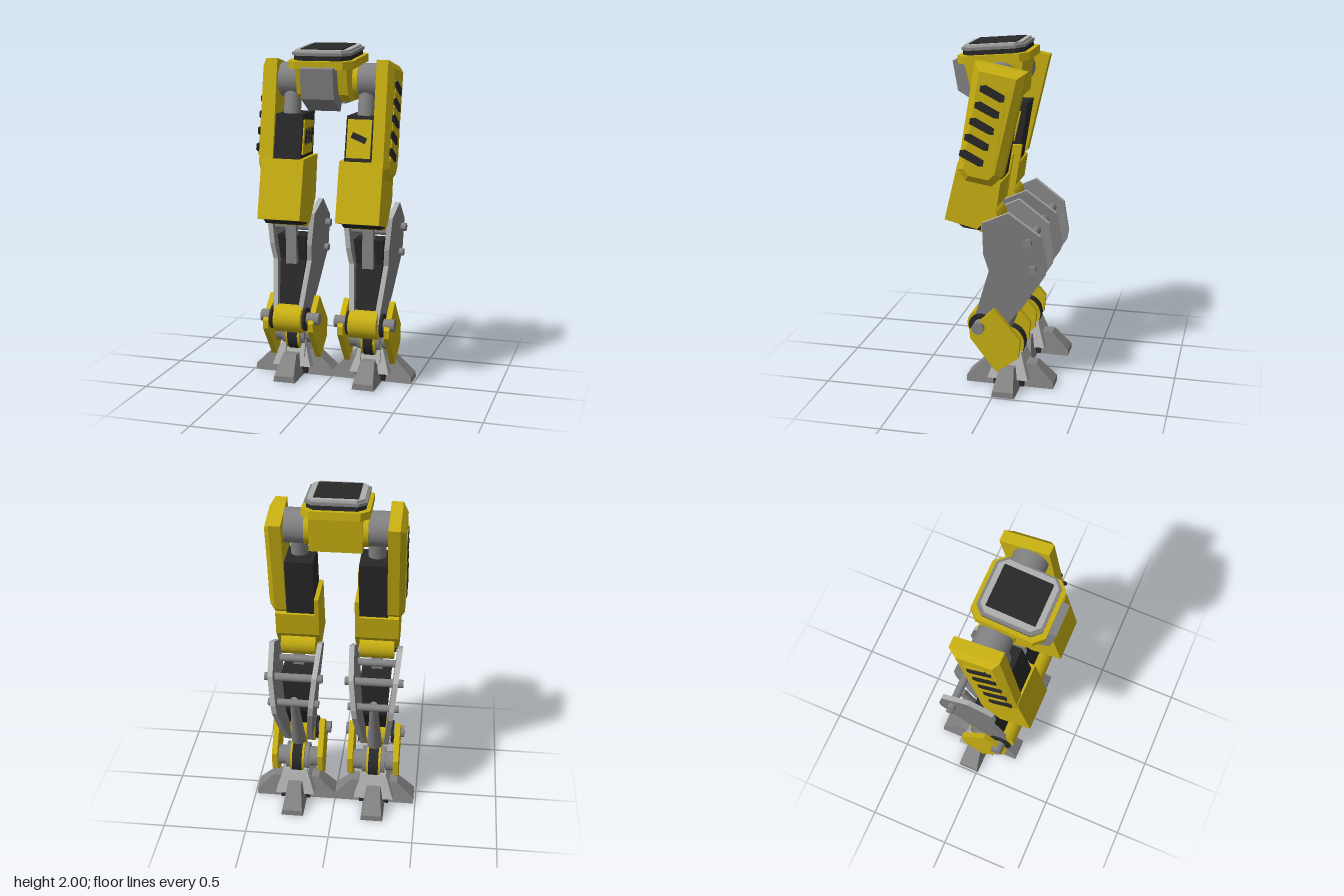
import * as THREE from 'three';

const paint = (name, color) => {
  const m = new THREE.MeshStandardMaterial({ color });
  m.name = name;
  return m;
};

export function createModel() {
  const yellow = paint('yellow', 0xc8b012);
  const black = paint('black', 0x282828);
  const grey = paint('grey', 0x838383);
  const light = paint('lightGrey', 0xb0b2b0);

  const add = (parent, name, geo, mat) => {
    const m = new THREE.Mesh(geo, mat);
    m.name = name;
    parent.add(m);
    return m;
  };
  const shapeOf = (pts) => new THREE.Shape(pts.map(([a, b]) => new THREE.Vector2(a, b)));

  // Side profile of [z, y] points, from x0 to x0 + w, optionally chamfered on the +x face
  const side = (pts, x0, w, bevel = 0, inset = bevel) => {
    const depth = w - bevel;
    const g = new THREE.ExtrudeGeometry(shapeOf(pts), {
      depth, bevelEnabled: bevel > 0, bevelSegments: 1,
      bevelThickness: bevel, bevelSize: inset, bevelOffset: -inset,
    });
    const p = g.attributes.position;
    for (let i = 0; i < p.count; i++) p.setZ(i, Math.min(p.getZ(i), depth));
    g.computeVertexNormals();
    return g.rotateY(-Math.PI / 2).translate(x0 + depth, 0, 0);
  };

  // Round bar between two points
  const bar = (a, b, r0, r1 = r0, n = 24) => {
    const A = new THREE.Vector3(...a), B = new THREE.Vector3(...b);
    const d = B.clone().sub(A);
    const g = new THREE.CylinderGeometry(r1, r0, d.length(), n);
    g.applyQuaternion(new THREE.Quaternion().setFromUnitVectors(new THREE.Vector3(0, 1, 0), d.normalize()));
    const c = A.add(B).multiplyScalar(0.5);
    return g.translate(c.x, c.y, c.z);
  };
  const axle = (x0, x1, y, z, r) => bar([x0, y, z], [x1, y, z], r);

  // Mirror a group across x, keeping the faces outward
  const mirror = (src, name) => {
    const out = new THREE.Group();
    out.name = name;
    src.children.forEach((m) => {
      const g = m.geometry.index ? m.geometry.toNonIndexed() : m.geometry.clone();
      g.scale(-1, 1, 1);
      for (const at of Object.values(g.attributes)) {
        const s = at.itemSize, a = at.array;
        for (let i = 0; i < at.count; i += 3) {
          for (let k = 0; k < s; k++) {
            const u = (i + 1) * s + k, v = (i + 2) * s + k;
            [a[u], a[v]] = [a[v], a[u]];
          }
        }
      }
      add(out, m.name, g, m.material);
    });
    return out;
  };

  const model = new THREE.Group();
  model.name = 'walkerLegs';

  // Pelvis
  const pelvis = new THREE.Group();
  pelvis.name = 'pelvis';
  model.add(pelvis);
  add(pelvis, 'pelvisBody', side([[0.24, 1.88], [0.2, 1.72], [0.14, 1.68], [-0.08, 1.68], [-0.1, 1.9]], -0.15, 0.3), yellow);
  add(pelvis, 'pelvisUnderside', new THREE.BoxGeometry(0.22, 0.02, 0.16).translate(0, 1.675, 0.03), grey);
  add(pelvis, 'frontBlock', side([[0.32, 1.87], [0.29, 1.7], [0.16, 1.625], [0.12, 1.7], [0.12, 1.9]], -0.095, 0.19), grey);
  add(pelvis, 'hipAxle', axle(-0.3, 0.3, 1.79, 0.02, 0.1), grey);
  for (const s of [-1, 1]) add(pelvis, 'hipCollar', axle(s * 0.14, s * 0.18, 1.79, 0.02, 0.105), yellow);

  // Stacked octagonal turret mount, tipped slightly forward
  const mount = new THREE.Group();
  mount.name = 'turretMount';
  mount.position.set(0, 1.9, 0.07);
  mount.rotation.x = 0.085;
  pelvis.add(mount);
  const octagon = (name, hx, hz, c, y, h, mat) => {
    const g = new THREE.ExtrudeGeometry(shapeOf([
      [-hx + c, -hz], [hx - c, -hz], [hx, -hz + c], [hx, hz - c],
      [hx - c, hz], [-hx + c, hz], [-hx, hz - c], [-hx, -hz + c],
    ]), { depth: h, bevelEnabled: false });
    add(mount, name, g.rotateX(-Math.PI / 2).translate(0, y, 0), mat);
  };
  octagon('mountLip', 0.19, 0.208, 0.05, -0.02, 0.045, yellow);
  octagon('mountSeal', 0.165, 0.178, 0.045, 0.025, 0.03, black);
  octagon('mountRing', 0.173, 0.183, 0.045, 0.052, 0.016, grey);
  octagon('mountCap', 0.158, 0.168, 0.04, 0.068, 0.014, light);
  octagon('mountPad', 0.125, 0.138, 0.004, 0.082, 0.005, black);

  // One leg, built on the +x side
  const leg = new THREE.Group();
  leg.name = 'leftLeg';
  model.add(leg);
  const cx = 0.235;

  // Thigh
  add(leg, 'thighShell', side([[0.12, 1.915], [-0.165, 1.86], [-0.03, 1.275], [0.03, 1.22], [0.18, 1.245], [0.225, 1.31]], 0.293, 0.097, 0.03, 0.04), yellow);
  add(leg, 'shellPanel', side([[0.075, 1.8], [-0.07, 1.765], [0.005, 1.33], [0.185, 1.36]], 0.386, 0.008), yellow);
  for (let i = 0; i < 5; i++) {
    const z = 0.01 + i * 0.03, y = 1.745 - i * 0.091;
    add(leg, 'shellStripe', side([
      [z + 0.07, y + 0.045], [z + 0.04, y + 0.05], [z - 0.065, y - 0.005],
      [z - 0.06, y - 0.04], [z - 0.035, y - 0.04], [z + 0.075, y + 0.015],
    ], 0.39, 0.008), black);
  }
  add(leg, 'thighCore', side([[0.15, 1.6], [-0.07, 1.6], [0, 1.18], [0.22, 1.3]], 0.13, 0.165), black);
  add(leg, 'thighPiston', bar([0.222, 1.55, 0.08], [0.222, 1.77, 0.04], 0.05), grey);
  add(leg, 'thighPistonEnd', new THREE.SphereGeometry(0.05, 20, 12).translate(0.222, 1.76, 0.042), grey);
  add(leg, 'kneeGuard', side([[0.222, 1.35], [0.305, 1.01], [0.115, 0.965], [0, 1.1], [-0.02, 1.24], [0.12, 1.32]], 0.105, 0.255), yellow);
  add(leg, 'kneeGuardCheek', side([[0.222, 1.35], [0.24, 1.2], [0, 1.1], [-0.04, 1.35]], 0.105, 0.025), yellow);
  add(leg, 'kneeUnderside', side([[0.26, 1.01], [0.1, 0.985], [0.1, 0.955], [0.2, 0.965]], 0.125, 0.22), black);
  add(leg, 'kneeBarrel', axle(0.13, 0.335, 1.01, 0.07, 0.075), yellow);

  // Shank: two side plates leaning in towards the ankle
  const plate = [
    [0.08, 1.01], [-0.07, 1.08], [-0.25, 0.95], [-0.285, 0.77], [-0.275, 0.71], [-0.14, 0.5], [-0.03, 0.37],
    [0.07, 0.32], [0.14, 0.34], [0.14, 0.43], [0.05, 0.72], [0.08, 0.82],
  ];
  for (const s of [-1, 1]) {
    const g = side(plate, cx + s * 0.078 - 0.015, 0.03);
    const p = g.attributes.position;
    for (let i = 0; i < p.count; i++) p.setX(i, p.getX(i) + s * (p.getY(i) - 0.45) * 0.1);
    g.computeVertexNormals();
    add(leg, 'shankPlate', g, [grey, light]);
  }
  add(leg, 'upperShankBar', axle(0.065, 0.405, 0.91, -0.182, 0.024), grey);
  add(leg, 'lowerShankBar', axle(0.085, 0.385, 0.75, -0.207, 0.022), grey);
  add(leg, 'shankFrontBar', axle(0.1, 0.37, 0.92, 0.02, 0.022), grey);
  const core = side([[0.06, 0.87], [-0.07, 0.87], [-0.06, 0.6], [0.02, 0.46], [0.11, 0.46], [0.035, 0.72]], cx - 0.09, 0.18);
  const cp = core.attributes.position;
  for (let i = 0; i < cp.count; i++) cp.setX(i, cx + (cp.getX(i) - cx) * (0.68 + (cp.getY(i) - 0.46) * 0.75));
  core.computeVertexNormals();
  add(leg, 'shankCore', core, black);
  add(leg, 'shankFrontRod', new THREE.BoxGeometry(0.065, 0.24, 0.04).translate(cx, 0.82, 0.055), grey);
  add(leg, 'shankRearPiston', bar([cx, 0.76, -0.19], [cx, 0.36, -0.02], 0.022, 0.045), grey);

  // Ankle
  add(leg, 'ankleBarrel', axle(0.145, 0.315, 0.375, 0.105, 0.085), yellow);
  for (const s of [-1, 1]) add(leg, 'ankleRing', axle(cx + s * 0.095, cx + s * 0.11, 0.375, 0.105, 0.07), black);
  add(leg, 'anklePin', axle(0.048, 0.41, 0.38, 0.105, 0.036), grey);
  const guard = [[0.015, 0.5], [-0.14, 0.32], [-0.13, 0.21], [0, 0.11], [0.155, 0.31], [0.16, 0.36]];
  add(leg, 'outerAnkleGuard', side(guard, 0.355, 0.033), yellow);
  add(leg, 'innerAnkleGuard', side(guard, 0.075, 0.033), yellow);
  add(leg, 'footAxle', axle(0.1, 0.36, 0.25, -0.035, 0.06), grey);
  add(leg, 'footBarrel', axle(0.165, 0.305, 0.25, -0.035, 0.085), grey);
  add(leg, 'footWheel', axle(0.192, 0.278, 0.25, -0.035, 0.104), yellow);
  add(leg, 'footWheelBand', axle(0.205, 0.265, 0.25, -0.035, 0.107), black);

  // Foot: four splayed toes around a tapered hub
  const fx = 0.243, fz = -0.06;
  for (let i = 0; i < 4; i++) {
    const r = i % 2 ? 0.245 : 0.26;
    const toe = side([[0, 0], [r, 0], [r, 0.035], [r - 0.105, 0.14], [0, 0.14]], -0.067, 0.134);
    const p = toe.attributes.position;
    for (let k = 0; k < p.count; k++) p.setX(k, p.getX(k) * (1 - 2.6 * p.getY(k)));
    toe.computeVertexNormals();
    add(leg, 'toe', toe.rotateY(i * Math.PI / 2).translate(fx, 0, fz), grey);
  }
  add(leg, 'footCore', new THREE.BoxGeometry(0.18, 0.06, 0.18).translate(fx, 0.04, fz), black);
  const hub = new THREE.CylinderGeometry(0.1, 0.17, 0.15, 4).toNonIndexed();
  hub.computeVertexNormals();
  add(leg, 'footHub', hub.rotateY(Math.PI / 4).translate(fx, 0.135, fz), light);
  for (const s of [-1, 1]) {
    add(leg, 'hubLug', side([[0.06, 0.12], [0.02, 0.24], [-0.09, 0.24], [-0.15, 0.12]], cx + s * 0.06 - 0.012, 0.024), light);
  }

  model.add(mirror(leg, 'rightLeg'));

  // Warning plate on the front of the left thigh
  const badge = new THREE.Group();
  badge.name = 'frontWarningPlate';
  badge.position.set(0.21, 1.475, 0.182);
  badge.rotation.x = -0.219;
  model.add(badge);
  add(badge, 'plate', new THREE.BoxGeometry(0.14, 0.22, 0.008), yellow);
  add(badge, 'plateStripe', new THREE.BoxGeometry(0.09, 0.035, 0.006).rotateZ(-0.4).translate(0, 0.005, 0.005), black);

  // Warning plate on the inner face of the right thigh
  const inner = new THREE.Group();
  inner.name = 'innerWarningPlate';
  model.add(inner);
  add(inner, 'plate', side([[0.14, 1.57], [-0.03, 1.55], [0.01, 1.37], [0.185, 1.37]], -0.131, 0.008), yellow);
  for (let i = 0; i < 3; i++) {
    const z = 0.025 + i * 0.05;
    add(inner, 'plateStripe', side([[z - 0.005, 1.52], [z - 0.03, 1.5], [z, 1.42], [z + 0.025, 1.44]], -0.125, 0.006), black);
  }
  return model;
}
